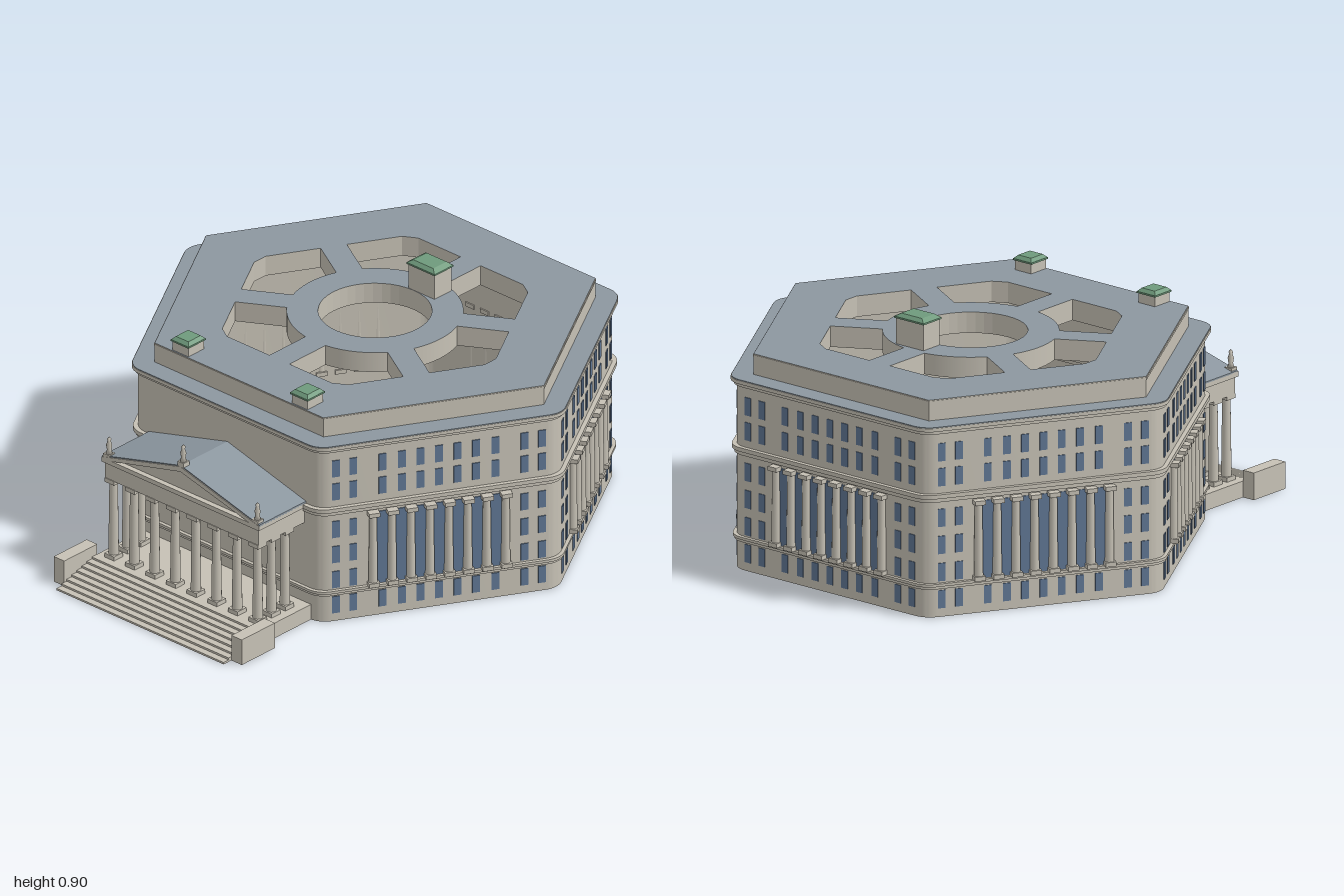
import * as THREE from 'three';
import { toCreasedNormals } from 'three/addons/utils/BufferGeometryUtils.js';

const CX = 0.21; // centre of the hexagonal block
const T = Math.PI / 3;

const mat = (name, color, side = THREE.FrontSide) => {
  const m = new THREE.MeshStandardMaterial({ color, side });
  m.name = name;
  return m;
};

export function createModel() {
  const stone = mat('stone', 0xc6c1b5, THREE.DoubleSide);
  const slate = mat('slate', 0x8c97a0, THREE.DoubleSide);
  const glass = mat('glass', 0x5f7693);
  const copper = mat('copper', 0x6f9a7c);

  const model = new THREE.Group();
  model.name = 'building';
  const group = (name, parent = model) => {
    const g = new THREE.Group();
    g.name = name;
    parent.add(g);
    return g;
  };
  const add = (name, geo, material, parent, x = 0, y = 0, z = 0) => {
    const m = new THREE.Mesh(geo, material);
    m.name = name;
    m.position.set(x, y, z);
    parent.add(m);
    return m;
  };
  const box = (name, material, parent, x0, x1, y0, y1, z0, z1) =>
    add(name, new THREE.BoxGeometry(x1 - x0, y1 - y0, z1 - z0), material, parent,
      (x0 + x1) / 2, (y0 + y1) / 2, (z0 + z1) / 2);

  // Hexagon outline with rounded corners, faces at 0, 60, 120... degrees
  const hexagon = (Type, apothem, r) => {
    const s = new Type();
    const d = (apothem - r) / Math.cos(T / 2);
    for (let k = 0; k < 6; k++) {
      const a = (k + 0.5) * T;
      if (r) s.absarc(d * Math.cos(a), d * Math.sin(a), r, k * T, (k + 1) * T, false);
      else if (k) s.lineTo(d * Math.cos(a), d * Math.sin(a));
      else s.moveTo(d * Math.cos(a), d * Math.sin(a));
    }
    s.closePath();
    return s;
  };
  const rise = (shape, y0, y1) => {
    const g = new THREE.ExtrudeGeometry(shape, { depth: y1 - y0, bevelEnabled: false, curveSegments: 6 });
    g.rotateX(-Math.PI / 2).translate(0, y0, 0);
    return toCreasedNormals(g, 0.5);
  };
  const block = group('hexagonalBlock');
  block.position.x = CX;
  const ring = (name, outer, inner, r, y0, y1, material = stone) => {
    const s = hexagon(THREE.Shape, outer, r);
    s.holes.push(hexagon(THREE.Path, inner, r));
    add(name, rise(s, y0, y1), material, block);
  };

  // Outer walls, belts and cornices
  ring('outerWall', 0.76, 0.753, 0.08, 0, 0.69);
  ring('lowerBelt', 0.768, 0.753, 0.08, 0.105, 0.115);
  ring('lowerBeltTop', 0.773, 0.753, 0.08, 0.115, 0.125);
  ring('middleBelt', 0.768, 0.753, 0.08, 0.425, 0.44);
  ring('middleBeltTop', 0.776, 0.753, 0.08, 0.44, 0.455);
  ring('corniceBed', 0.77, 0.753, 0.08, 0.677, 0.69);
  ring('cornice', 0.78, 0.69, 0.08, 0.69, 0.703);
  ring('corniceRoof', 0.778, 0.69, 0.08, 0.703, 0.706, slate);
  ring('attic', 0.695, 0.685, 0, 0.7, 0.775);
  ring('atticCornice', 0.702, 0.68, 0, 0.77, 0.779);

  // Roof with six courts and a round central opening
  const roof = hexagon(THREE.Shape, 0.7, 0);
  const W = 0.048, R = 0.31, AP = 0.492, delta = Math.asin(W / R);
  for (let k = 0; k < 6; k++) {
    const a0 = k * T, a1 = a0 + T;
    const p = (a, off) => [AP * Math.cos(a) - off * Math.sin(a), AP * Math.sin(a) + off * Math.cos(a)];
    const court = new THREE.Path();
    court.moveTo(...p(a0, W));
    court.lineTo(...p(a0, 0.25));
    court.lineTo(...p(a1, -0.25));
    court.lineTo(...p(a1, -W));
    court.absarc(0, 0, R, a1 - delta, a0 + delta, true);
    court.closePath();
    roof.holes.push(court);
  }
  const eye = new THREE.Path();
  eye.absarc(0, 0, 0.2, 0, Math.PI * 2, true);
  roof.holes.push(eye);
  const roofGeo = new THREE.ExtrudeGeometry(roof, { depth: 0.077, bevelEnabled: false, curveSegments: 20 });
  add('roof', roofGeo.rotateX(-Math.PI / 2), [slate, stone], block, 0, 0.705, 0);

  // Low dome under the central opening
  add('dome', new THREE.SphereGeometry(0.15, 32, 20), slate, block, 0, 0.28, 0);
  add('domeRing', new THREE.CylinderGeometry(0.2, 0.2, 0.02, 40), slate, block, 0, 0.28, 0);

  // Windows and engaged columns of each face; local +x points outwards
  const cols = [0, 0.068, 0.136, 0.207, 0.314, 0.378];
  const both = [...cols, ...cols.slice(1).map((z) => -z)];
  const pane = new THREE.BoxGeometry(0.008, 0.066, 0.028);
  const tallPane = new THREE.BoxGeometry(0.008, 0.285, 0.046);
  const atticPane = new THREE.BoxGeometry(0.008, 0.04, 0.024);
  const shaft = new THREE.CylinderGeometry(0.014, 0.017, 0.27, 12);
  const cap = new THREE.BoxGeometry(0.042, 0.016, 0.04);
  for (let k = 0; k < 6; k++) {
    const face = group('face', block);
    face.rotation.y = k * T;
    for (const z of both) add('atticWindow', atticPane, glass, face, 0.693, 0.745, z);
    if (k === 3) continue; // the portico stands here
    for (const z of both) {
      for (const y of [0.065, 0.515, 0.607]) add('window', pane, glass, face, 0.759, y, z);
      if (Math.abs(z) > 0.3)
        for (const y of [0.165, 0.265, 0.365]) add('window', pane, glass, face, 0.759, y, z);
      else add('tallWindow', tallPane, glass, face, 0.759, 0.27, z);
    }
    for (let i = 0; i < 8; i++) {
      const z = (i - 3.5) * 0.0695;
      add('column', shaft, stone, face, 0.767, 0.27, z);
      add('columnCapital', cap, stone, face, 0.769, 0.412, z);
      add('columnBase', cap, stone, face, 0.767, 0.132, z);
    }
  }

  // Roof houses with hipped copper caps
  const house = (x, z, w, d, h) => {
    const g = group('roofHouse');
    g.position.set(x, 0.78, z);
    add('houseWalls', new THREE.BoxGeometry(w, h, d), stone, g, 0, h / 2, 0);
    add('capEdge', new THREE.BoxGeometry(w + 0.01, 0.006, d + 0.01), copper, g, 0, h + 0.003, 0);
    const hip = new THREE.CylinderGeometry(0.72 * Math.SQRT1_2, Math.SQRT1_2, 1, 4, 1).toNonIndexed();
    hip.rotateY(Math.PI / 4).scale(w + 0.008, 0.012, d + 0.008);
    hip.computeVertexNormals();
    add('capRoof', hip, copper, g, 0, h + 0.012, 0);
  };
  house(-0.445, 0.285, 0.08, 0.075, 0.038);
  house(-0.445, -0.285, 0.08, 0.075, 0.038);
  house(0.455, 0.035, 0.088, 0.125, 0.098);

  // Portico: podium, columns, entablature
  const portico = group('portico');
  box('podium', stone, portico, -0.79, -0.54, 0, 0.06, -0.4, 0.4);
  const pShaft = new THREE.CylinderGeometry(0.015, 0.019, 0.3, 14);
  const pCap = new THREE.BoxGeometry(0.046, 0.016, 0.046);
  const column = (x, z) => {
    add('porticoColumn', pShaft, stone, portico, x, 0.215, z);
    add('porticoCapital', pCap, stone, portico, x, 0.369, z);
    add('porticoBase', pCap, stone, portico, x, 0.068, z);
  };
  for (let i = 0; i < 8; i++) column(-0.765, (i - 3.5) * 0.0985);
  for (const s of [-1, 1]) for (const x of [-0.695, -0.625]) column(x, s * 0.345);
  box('architrave', stone, portico, -0.785, -0.54, 0.375, 0.44, -0.368, 0.368);
  box('porticoCornice', stone, portico, -0.793, -0.52, 0.44, 0.457, -0.376, 0.376);

  // Gable and pitched roof
  const alongX = (pts, x0, x1) => {
    const s = new THREE.Shape(pts.map(([z, y]) => new THREE.Vector2(-z, y)));
    return new THREE.ExtrudeGeometry(s, { depth: x1 - x0, bevelEnabled: false })
      .rotateY(Math.PI / 2).translate(x0, 0, 0);
  };
  add('gable', alongX([[-0.36, 0.455], [0.36, 0.455], [0, 0.55]], -0.772, -0.51), stone, portico);
  for (const s of [-1, 1]) {
    add('rakingCornice', alongX([[0, 0.538], [s * 0.376, 0.445], [s * 0.376, 0.459], [0, 0.558]],
      -0.793, -0.76), stone, portico);
    add('porticoRoof', alongX([[0, 0.552], [s * 0.376, 0.454], [s * 0.376, 0.463], [0, 0.562]],
      -0.79, -0.5), slate, portico);
  }

  // Ornaments on the gable corners and ridge
  const finial = new THREE.LatheGeometry(
    [[0, 0], [0.012, 0], [0.008, 0.014], [0.011, 0.032], [0.006, 0.048], [0.008, 0.056], [0, 0.066]]
      .map(([x, y]) => new THREE.Vector2(x, y)), 10);
  for (const [z, y] of [[-0.355, 0.457], [0, 0.557], [0.355, 0.457]]) {
    box('finialBase', stone, portico, -0.792, -0.762, y, y + 0.018, z - 0.015, z + 0.015);
    add('finial', finial, stone, portico, -0.777, y + 0.018, z);
  }

  // Front steps between cheek blocks
  const steps = group('steps');
  for (let i = 0; i < 8; i++)
    box('step', stone, steps, -1 + i * 0.026, -1 + (i + 1) * 0.026 + 0.002, 0, (i + 1) * 0.0075, -0.4, 0.4);
  for (const s of [-1, 1])
    box('cheekBlock', stone, steps, -0.96, -0.79, 0, 0.1, s * 0.425 - 0.025, s * 0.425 + 0.025);

  return model;
}
